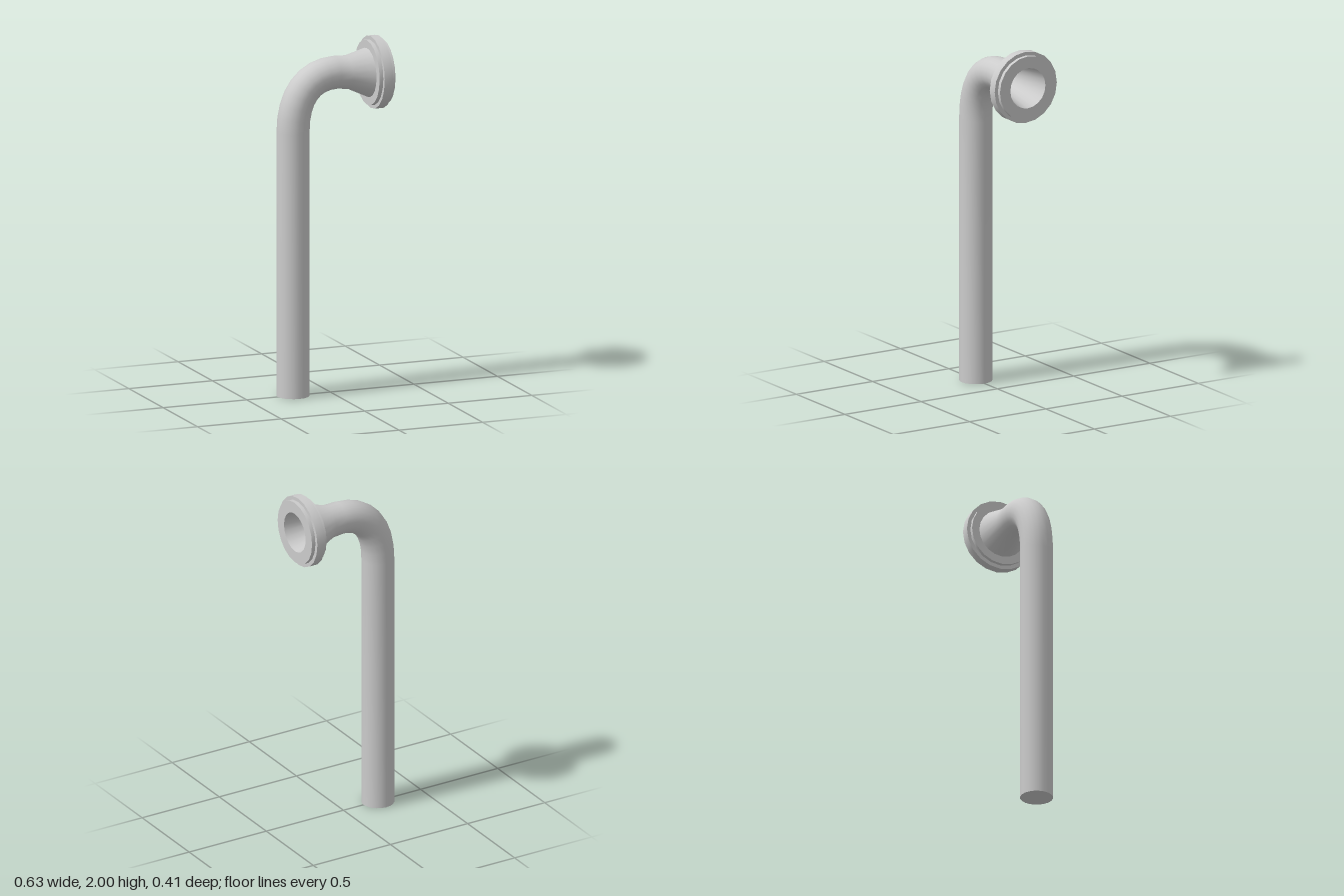
import * as THREE from 'three';
import { toCreasedNormals } from 'three/addons/utils/BufferGeometryUtils.js';

const SIDES = 20;
const material = new THREE.MeshStandardMaterial({ color: 0xcccccc });

// Skin over round sections { x, y, r, a }, where a is the direction of travel.
function loft(rings, cap) {
  const pos = [], index = [];
  const at = (i, j) => i * SIDES + (j % SIDES);
  for (const { x, y, r, a } of rings) {
    for (let j = 0; j < SIDES; j++) {
      const t = (j / SIDES) * Math.PI * 2, n = r * Math.cos(t);
      pos.push(x - Math.sin(a) * n, y + Math.cos(a) * n, r * Math.sin(t));
    }
  }
  for (let i = 0; i < rings.length - 1; i++) {
    for (let j = 0; j < SIDES; j++) {
      index.push(at(i, j), at(i, j + 1), at(i + 1, j));
      index.push(at(i, j + 1), at(i + 1, j + 1), at(i + 1, j));
    }
  }
  // Flat disc over the first or last section
  const k = cap === 'start' ? 0 : rings.length - 1;
  const centre = pos.length / 3;
  pos.push(rings[k].x, rings[k].y, 0);
  for (let j = 0; j < SIDES; j++) {
    if (cap === 'start') index.push(centre, at(k, j + 1), at(k, j));
    else index.push(centre, at(k, j), at(k, j + 1));
  }
  const g = new THREE.BufferGeometry();
  g.setAttribute('position', new THREE.Float32BufferAttribute(pos, 3));
  g.setIndex(index);
  return toCreasedNormals(g, 0.6);
}

export function createModel() {
  const group = new THREE.Group();
  const add = (name, geometry) => {
    const mesh = new THREE.Mesh(geometry, material);
    mesh.name = name;
    group.add(mesh);
    return mesh;
  };

  // Pipe: straight leg, bend, short level run and flared neck
  const R = 0.092, up = Math.PI / 2;
  const bend = new THREE.CubicBezierCurve(
    new THREE.Vector2(-0.223, 1.5), new THREE.Vector2(-0.223, 1.7),
    new THREE.Vector2(-0.13, 1.815), new THREE.Vector2(0.03, 1.815));
  const rings = [{ x: -0.223, y: 0, r: R, a: up }];
  for (let i = 0; i <= 8; i++) {
    const p = bend.getPoint(i / 8), t = bend.getTangent(i / 8);
    rings.push({ x: p.x, y: p.y, r: R, a: Math.atan2(t.y, t.x) });
  }
  rings.push({ x: 0.1, y: 1.81, r: 0.094, a: 0 }, { x: 0.22, y: 1.797, r: 0.138, a: 0 });
  add('pipe', loft(rings, 'start'));

  // Stepped flange around the mouth
  const profile = [
    [0.138, 0.22], [0.183, 0.22], [0.183, 0.242], [0.204, 0.242],
    [0.204, 0.293], [0.183, 0.293], [0.183, 0.315], [0.115, 0.315],
  ].map(([r, x]) => new THREE.Vector2(r, x));
  const flange = add('flange', toCreasedNormals(new THREE.LatheGeometry(profile, SIDES), 0.6));
  flange.rotation.z = -Math.PI / 2;
  flange.position.y = 1.797;

  // Tapering bore, closed at its inner end
  add('bore', loft([
    { x: 0.315, y: 1.797, r: 0.115, a: 0 },
    { x: 0.1, y: 1.81, r: 0.08, a: 0 },
    { x: 0.04, y: 1.813, r: 0.078, a: 0 },
  ], 'end'));

  return group;
}
